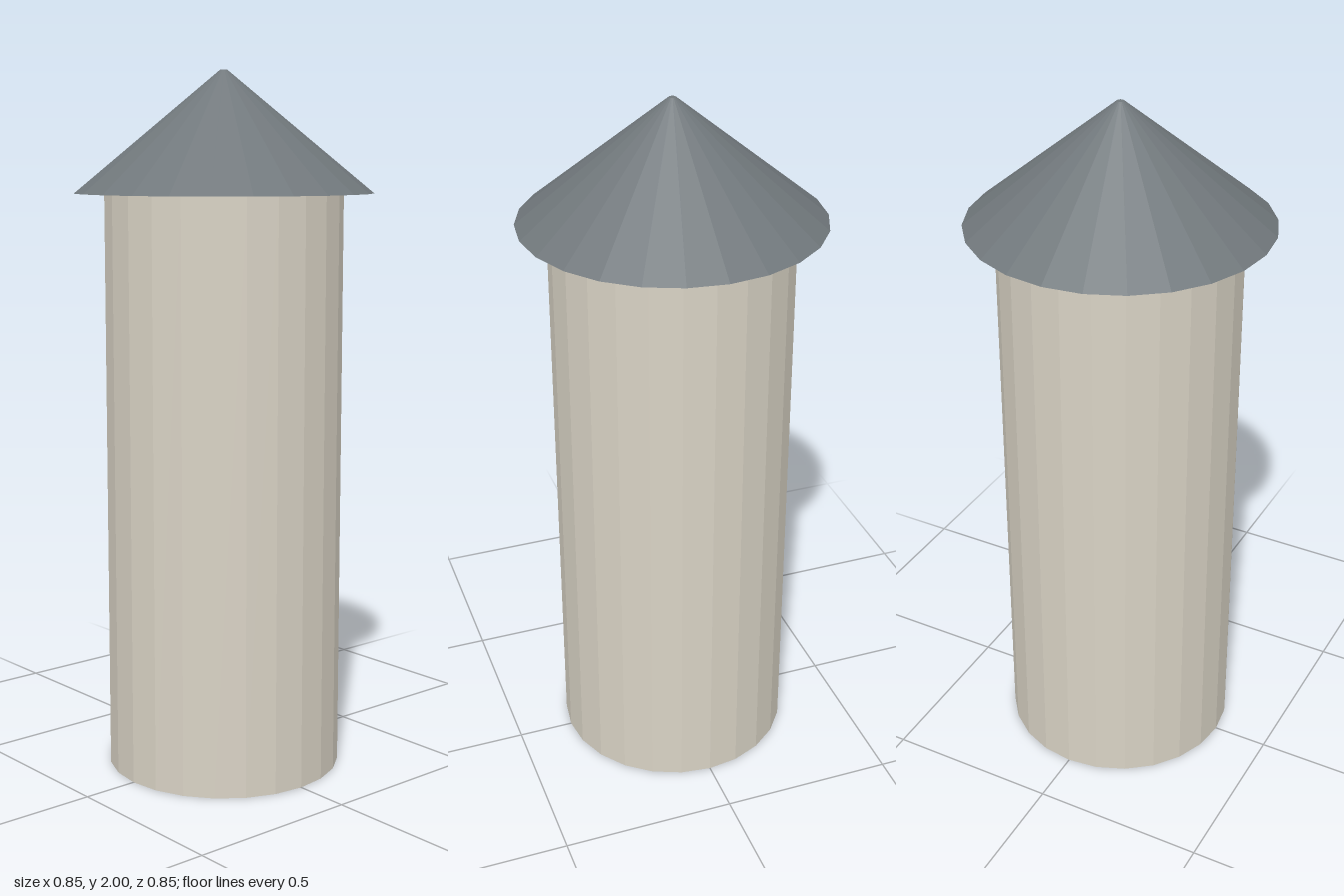
import * as THREE from 'three';

const SIDES = 24;
const EAVES = 1.66;

export function createModel() {
  const group = new THREE.Group();
  group.name = 'roundTower';

  const stone = new THREE.MeshStandardMaterial({ color: 0xd8d2c4, flatShading: true });
  stone.name = 'pale stone';
  const slate = new THREE.MeshStandardMaterial({ color: 0x71787c, flatShading: true });
  slate.name = 'grey slate';

  // Adds a closed, faceted round part standing on y = bottom
  const addRound = (name, topRadius, bottomRadius, bottom, height, material) => {
    const geometry = new THREE.CylinderGeometry(topRadius, bottomRadius, height, SIDES);
    const mesh = new THREE.Mesh(geometry, material);
    mesh.name = name;
    mesh.position.y = bottom + height / 2;
    group.add(mesh);
  };

  // Straight tower shaft
  addRound('shaft', 0.338, 0.338, 0, EAVES, stone);
  // Overhanging conical roof with a tiny blunt tip
  addRound('roof', 0.01, 0.423, EAVES, 2 - EAVES, slate);

  return group;
}
